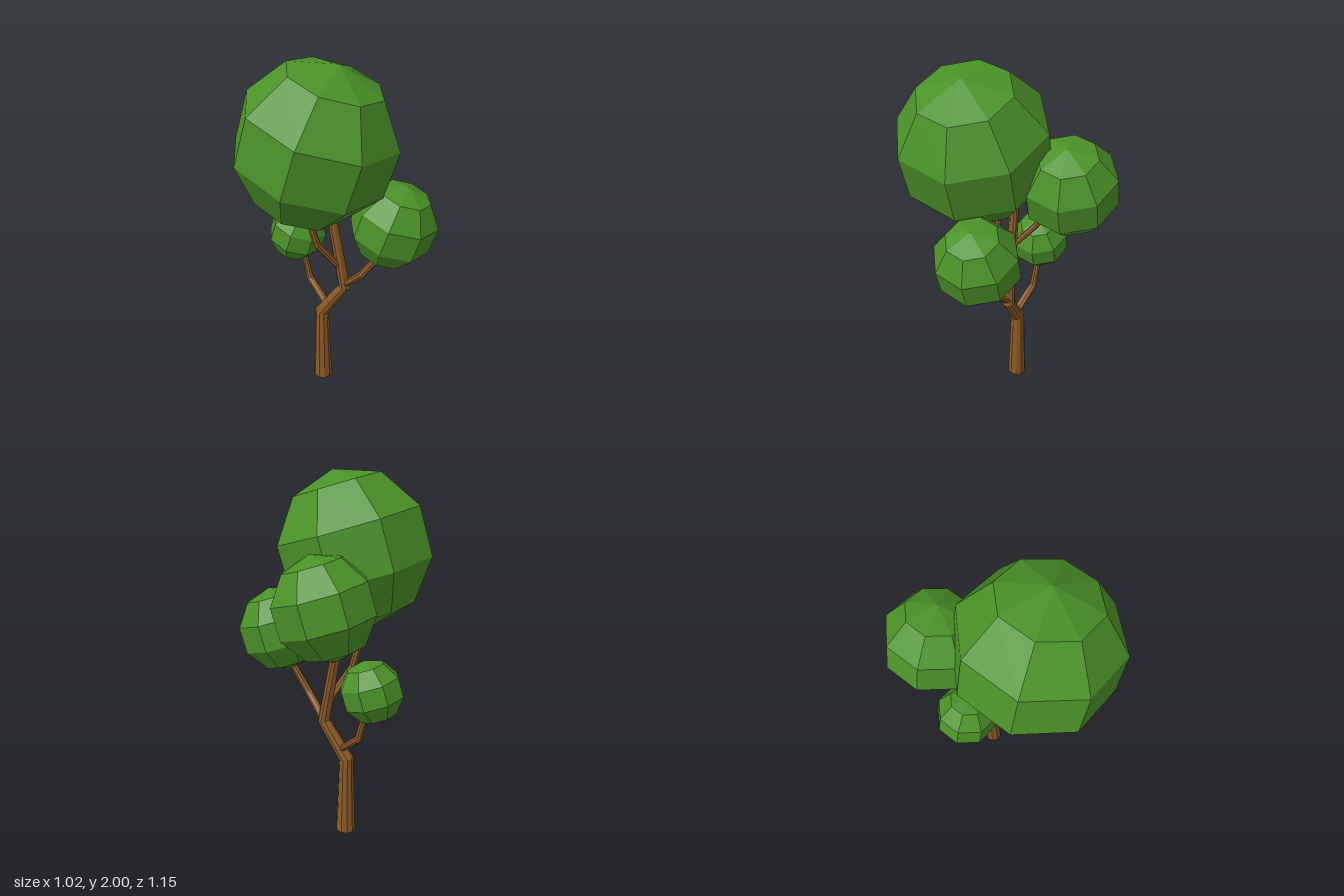
import * as THREE from 'three';

const bark = new THREE.MeshStandardMaterial({ color: 0x8b5a26, flatShading: true });
const leaf = new THREE.MeshStandardMaterial({ color: 0x4a9227, flatShading: true });

// Tapered limb: mitred rings along a bent path, each point is [x, y, z, radius]
function limb(name, points, sides = 8) {
  const centres = points.map(p => new THREE.Vector3(p[0], p[1], p[2]));
  const last = points.length - 1;
  const positions = [], index = [];
  centres.forEach((c, i) => {
    const dir = centres[Math.min(i + 1, last)].clone().sub(c).normalize();
    dir.add(c.clone().sub(centres[Math.max(i - 1, 0)]).normalize()).normalize();
    if (i === 0) dir.set(0, 1, 0).lerp(dir, name === 'trunk' ? 0 : 1);
    const turn = new THREE.Quaternion().setFromUnitVectors(new THREE.Vector3(0, 1, 0), dir);
    for (let s = 0; s < sides; s++) {
      const a = s / sides * Math.PI * 2;
      const v = new THREE.Vector3(Math.sin(a), 0, Math.cos(a)).multiplyScalar(points[i][3]);
      positions.push(...v.applyQuaternion(turn).add(c).toArray());
      if (i < last) {
        const p = i * sides + s, q = i * sides + (s + 1) % sides;
        index.push(p, q, q + sides, p, q + sides, p + sides);
      }
    }
  });
  // end caps
  for (let s = 1; s < sides - 1; s++) {
    const t = last * sides;
    index.push(0, s + 1, s, t, t + s, t + s + 1);
  }
  const geometry = new THREE.BufferGeometry();
  geometry.setAttribute('position', new THREE.Float32BufferAttribute(positions, 3));
  geometry.setIndex(index);
  geometry.computeVertexNormals();
  const mesh = new THREE.Mesh(geometry, bark);
  mesh.name = name;
  return mesh;
}

// Faceted leaf ball, its pole leaning to one side
function foliage(name, x, y, z, radius) {
  const geometry = new THREE.SphereGeometry(radius, 8, 5);
  geometry.rotateY(0.11).rotateZ(-Math.PI / 10);
  const mesh = new THREE.Mesh(geometry, leaf);
  mesh.position.set(x, y, z);
  mesh.name = name;
  return mesh;
}

export function createModel() {
  const tree = new THREE.Group();
  tree.name = 'tree';

  // Trunk and branches
  tree.add(
    limb('trunk', [
      [-0.17, 0, -0.053, 0.055], [-0.168, 0.465, -0.053, 0.041],
      [-0.025, 0.668, -0.053, 0.035], [-0.12, 1.25, -0.04, 0.025],
    ], 10),
    limb('lowerRightBranch', [
      [-0.13, 0.51, -0.055, 0.026], [-0.268, 0.64, -0.11, 0.022], [-0.315, 0.83, -0.12, 0.016],
    ]),
    limb('leftBranch', [
      [-0.025, 0.68, -0.053, 0.026], [0.1, 0.8, -0.005, 0.022], [0.235, 0.99, 0, 0.017],
    ]),
    limb('frontBranch', [
      [-0.05, 0.79, -0.05, 0.025], [-0.14, 0.97, 0.06, 0.021], [-0.205, 1.27, 0.11, 0.017],
    ]),
    limb('backBranch', [
      [-0.085, 1.03, -0.05, 0.02], [-0.13, 1.16, -0.16, 0.017], [-0.165, 1.3, -0.25, 0.014],
    ]),
  );

  // Leaf balls
  tree.add(
    foliage('crownFoliage', -0.085, 1.596, 0.17, 0.425),
    foliage('backFoliage', -0.175, 1.418, -0.325, 0.266),
    foliage('leftFoliage', 0.275, 1.145, -0.005, 0.235),
    foliage('lowerRightFoliage', -0.34, 0.936, -0.113, 0.17),
  );
  return tree;
}
